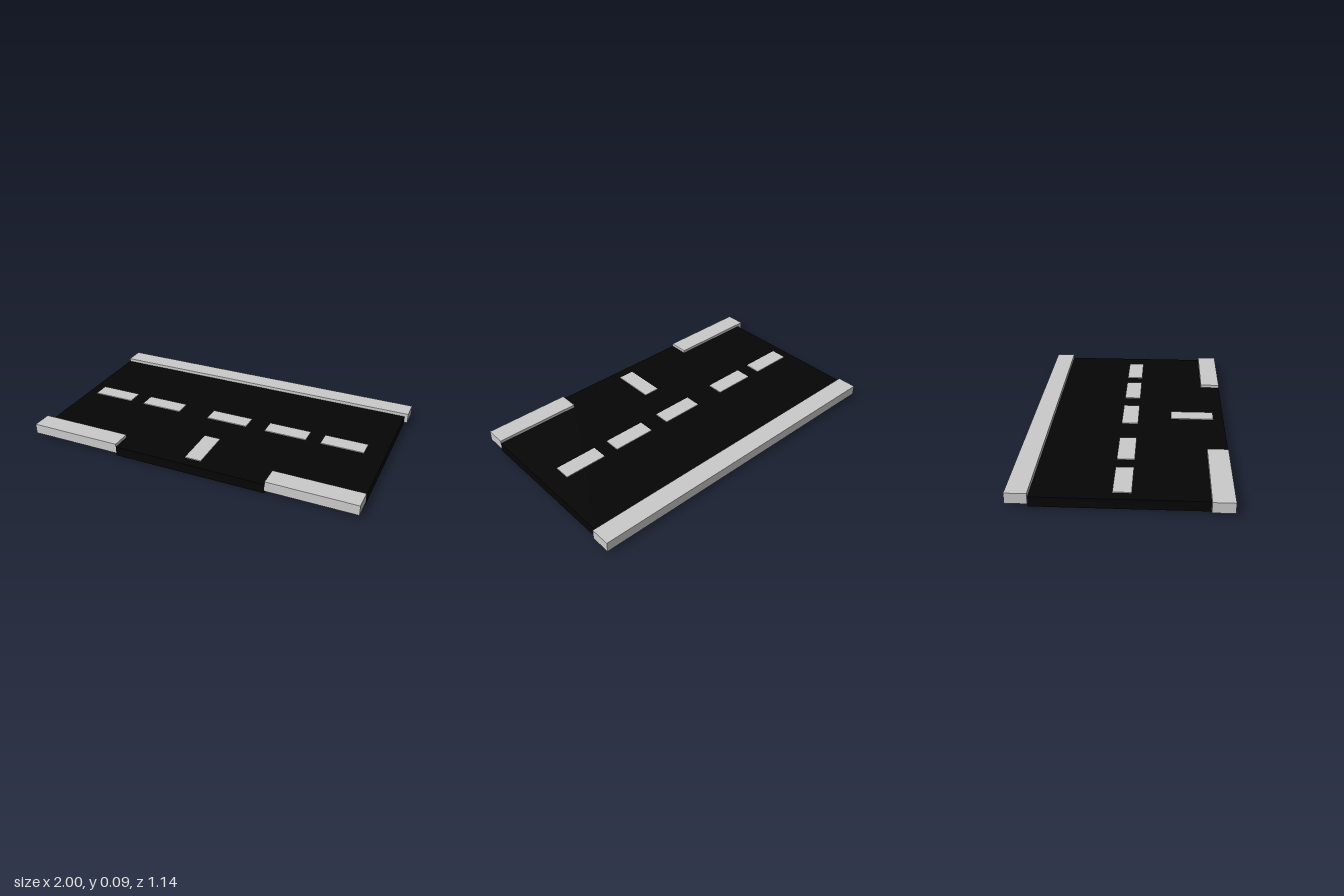
import * as THREE from 'three';

const grey = new THREE.MeshStandardMaterial({ color: 0xcccccc });
const asphalt = new THREE.MeshStandardMaterial({ color: 0x050505 });

// Box given by its extents along each axis
function slab(name, [x0, x1], [y0, y1], [z0, z1], material = grey) {
  const mesh = new THREE.Mesh(new THREE.BoxGeometry(x1 - x0, y1 - y0, z1 - z0), material);
  mesh.position.set((x0 + x1) / 2, (y0 + y1) / 2, (z0 + z1) / 2);
  mesh.name = name;
  return mesh;
}

// T-shaped road slab: the main carriageway plus the mouth of the side road
function road() {
  const outline = [
    [-0.965, -0.453], [0.98, -0.453], [0.98, 0.455], [0.465, 0.455],
    [0.465, 0.572], [-0.445, 0.572], [-0.445, 0.455], [-0.965, 0.455],
  ].map(([x, z]) => new THREE.Vector2(x, -z));
  const geometry = new THREE.ExtrudeGeometry(new THREE.Shape(outline), { depth: 0.055, bevelEnabled: false });
  geometry.rotateX(-Math.PI / 2);
  const mesh = new THREE.Mesh(geometry, asphalt);
  mesh.position.y = 0.012;
  mesh.name = 'road';
  return mesh;
}

export function createModel() {
  const model = new THREE.Group();
  model.name = 'roadJunction';
  model.add(road());

  // Raised pavements along both sides, open at the side road
  const kerbY = [0.026, 0.085];
  model.add(
    slab('backPavement', [-0.965, 1], kerbY, [-0.572, -0.456]),
    slab('frontRightPavement', [-1, -0.445], kerbY, [0.455, 0.572]),
    slab('frontLeftPavement', [0.465, 0.98], kerbY, [0.455, 0.572]),
  );

  // Lane dashes pass right through the slab and show above and below
  const dashY = [0, 0.072];
  for (const x of [-0.905, -0.56, -0.113, 0.262, 0.607]) {
    model.add(slab('laneDash', [x, x + 0.256], dashY, [-0.037, 0.06]));
  }
  model.add(slab('sideRoadDash', [-0.035, 0.063], dashY, [0.255, 0.511]));

  return model;
}
